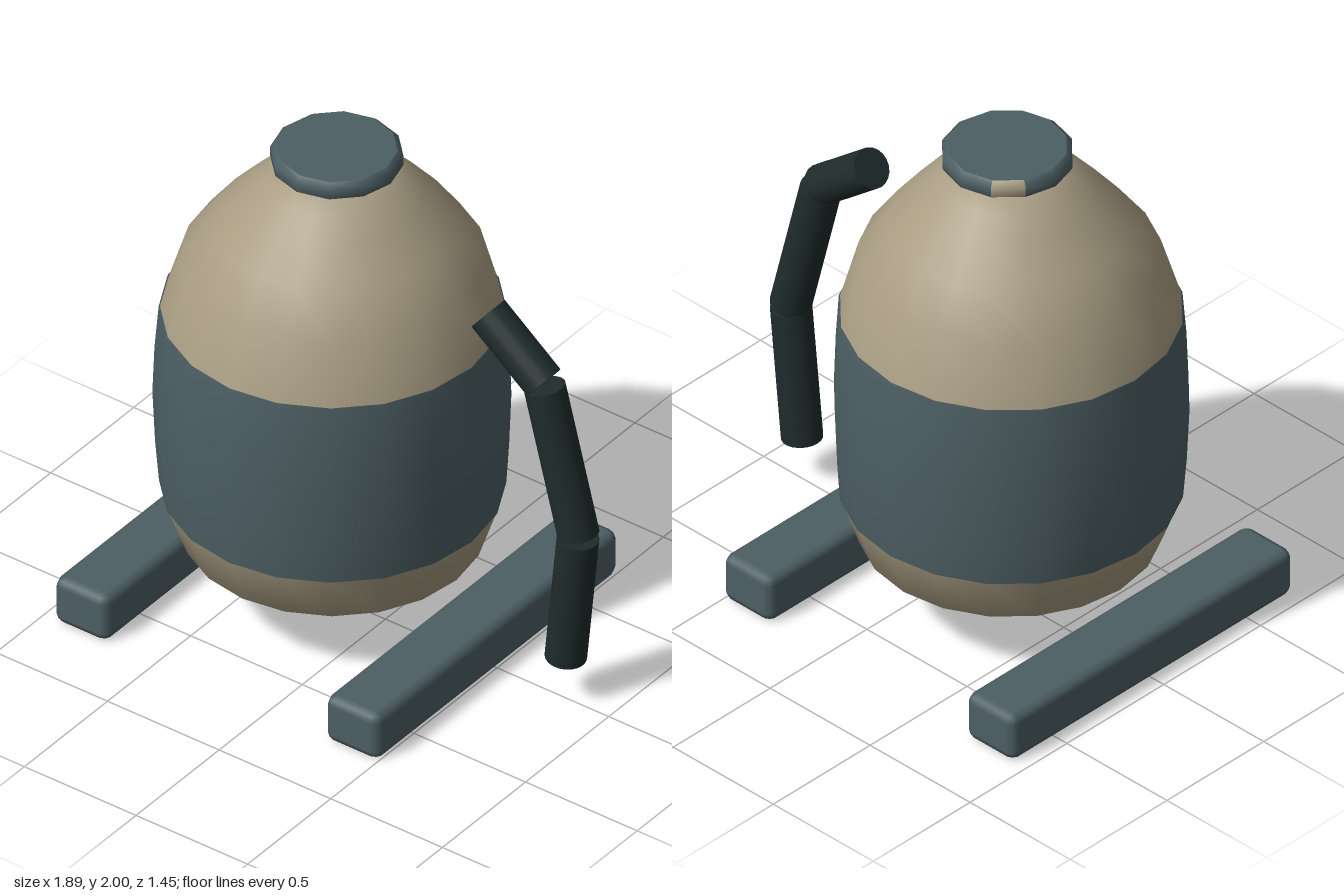
import * as THREE from 'three';
import { RoundedBoxGeometry } from 'three/addons/geometries/RoundedBoxGeometry.js';

export function createModel() {
  const model = new THREE.Group();
  const material = (name, color) => {
    const m = new THREE.MeshStandardMaterial({ color });
    m.name = name;
    return m;
  };
  const tan = material('tan', 0xa99d83);
  const slate = material('slate', 0x4d5f64);
  const dark = material('dark rubber', 0x1f2b2b);

  const add = (name, geometry, mat, x = 0, y = 0, z = 0) => {
    const mesh = new THREE.Mesh(geometry, mat);
    mesh.name = name;
    mesh.position.set(x, y, z);
    model.add(mesh);
    return mesh;
  };
  const profile = (points) => points.map(([r, y]) => new THREE.Vector2(r, y));

  // Tank: stacked lathe sections whose axis bows slightly sideways
  const tankSection = (name, points, mat) => {
    const geometry = new THREE.LatheGeometry(profile(points), 20);
    const p = geometry.attributes.position;
    for (let i = 0; i < p.count; i++) {
      const t = (p.getY(i) - 0.9) / 1.05;
      p.setX(i, p.getX(i) - 0.24 + 0.025 * t * t);
    }
    add(name, geometry, mat);
  };
  tankSection('tankUnderside', [[0, 0.2], [0.2, 0.217], [0.38, 0.235]], dark);
  tankSection('tankBase', [[0.38, 0.235], [0.44, 0.25], [0.55, 0.31], [0.62, 0.51]], tan);
  tankSection('tankBand', [[0.617, 0.51], [0.624, 0.51], [0.636, 0.68], [0.645, 0.9],
    [0.638, 1.1], [0.625, 1.28], [0.617, 1.28]], slate);
  tankSection('tankDome', [[0.62, 1.28], [0.55, 1.52], [0.44, 1.67], [0.325, 1.8],
    [0.25, 1.87], [0.18, 1.915], [0.1, 1.93], [0, 1.933]], tan);

  // Lid: twelve-sided disc with one tan facet on the rim
  const capX = -0.218, step = Math.PI / 6;
  const rim = profile([[0.22, 1.925], [0.241, 1.94], [0.241, 1.982], [0.22, 2]]);
  add('lidRim', new THREE.LatheGeometry(rim, 11, 8 * step, 11 * step), slate, capX);
  add('lidRimFacet', new THREE.LatheGeometry(rim, 1, 7 * step, step), tan, capX);
  for (const [name, y, tilt] of [['lidTop', 2, -1], ['lidBottom', 1.925, 1]]) {
    add(name, new THREE.CircleGeometry(0.22, 12), slate, capX, y).rotation.x = tilt * Math.PI / 2;
  }

  // Hose: three straight capped lengths
  const lengths = [
    [[0.46, 1.555], [0.71, 1.355]],
    [[0.713, 1.34], [0.865, 0.75]],
    [[0.863, 0.737], [0.808, 0.185]],
  ];
  lengths.forEach(([a, b], i) => {
    const from = new THREE.Vector3(...a, 0), to = new THREE.Vector3(...b, 0);
    const dir = to.clone().sub(from);
    const hose = add('hoseLength' + (i + 1), new THREE.CylinderGeometry(0.077, 0.077, dir.length(), 20), dark);
    hose.position.copy(from).add(to).multiplyScalar(0.5);
    hose.quaternion.setFromUnitVectors(new THREE.Vector3(0, 1, 0), dir.normalize());
  });

  // Skids: chamfered bars running front to back
  for (const [name, x] of [['rightSkid', -0.829], ['leftSkid', 0.386]]) {
    add(name, new RoundedBoxGeometry(0.24, 0.196, 1.454, 1, 0.035), slate, x, 0.098);
  }
  return model;
}
